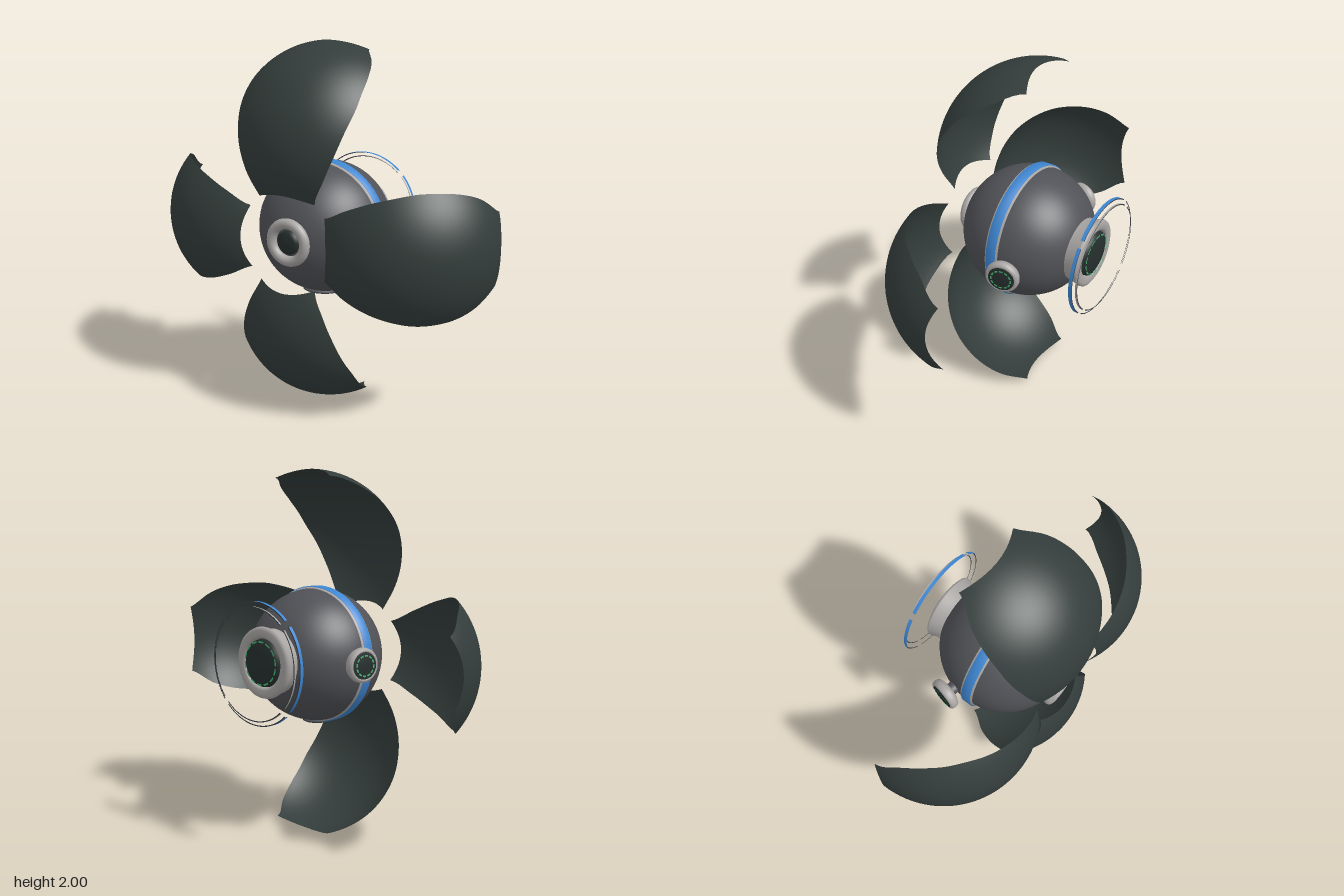
import * as THREE from 'three';

const mat = (name, color) => {
  const m = new THREE.MeshStandardMaterial({ color });
  m.name = name;
  return m;
};

export function createModel() {
  const shell = mat('petal charcoal green', 0x333d3b);
  shell.side = THREE.DoubleSide;
  const body = mat('body grey', 0x515257);
  const trim = mat('light trim', 0xa9a6a4);
  const blue = mat('blue', 0x3d86d2);
  const glass = mat('dark glass', 0x262f2e);
  const green = mat('signal green', 0x46b873);
  green.side = THREE.DoubleSide;
  const edge = mat('dark edge', 0x3a3f45);
  edge.side = THREE.DoubleSide;

  const root = new THREE.Group();
  root.name = 'petalDrone';
  const core = new THREE.Group();
  core.name = 'core';
  core.position.y = 1;
  root.add(core);

  const add = (parent, name, geo, material) => {
    const m = new THREE.Mesh(geo, material);
    m.name = name;
    parent.add(m);
    return m;
  };
  const lathe = (pts, seg = 48) =>
    new THREE.LatheGeometry(pts.map(([r, y]) => new THREE.Vector2(r, y)), seg);
  // group whose y axis points outward from the core
  const outward = (name, x, y, z) => {
    const g = new THREE.Group();
    g.name = name;
    g.quaternion.setFromUnitVectors(new THREE.Vector3(0, 1, 0), new THREE.Vector3(x, y, z).normalize());
    core.add(g);
    return g;
  };
  // dashed ring of light lying across the y axis
  const dashes = (parent, r, width, y, count) => {
    for (let i = 0; i < count; i++) {
      const step = (Math.PI * 2) / count;
      const g = new THREE.RingGeometry(r - width / 2, r + width / 2, 5, 1, i * step, step * 0.7);
      g.rotateX(-Math.PI / 2);
      add(parent, 'lightDash', g, green).position.y = y;
    }
  };

  // Ball and equator band
  add(core, 'ball', new THREE.SphereGeometry(0.365, 64, 40), body);
  const band = outward('equatorBand', 0, 0, 1);
  add(band, 'bandTrim', lathe([[0.35, -0.028], [0.371, -0.028], [0.371, 0.045], [0.35, 0.045]], 64), trim);
  add(band, 'bandStripe', lathe([[0.36, -0.018], [0.377, -0.018], [0.377, 0.036], [0.36, 0.036]], 64), blue);

  // Four petals: patches of a larger sphere, turned around the z axis
  const R = 0.52;
  const widths = new THREE.SplineCurve(
    [0.17, 0.235, 0.287, 0.32, 0.34, 0.339, 0.325, 0.285, 0.2].map((w, i) => new THREE.Vector2(i, w)));
  const petalGeo = new THREE.PlaneGeometry(2, 1, 24, 40);
  const p = petalGeo.attributes.position;
  for (let i = 0; i < p.count; i++) {
    const s = p.getX(i);
    const v = p.getY(i) + 0.5;
    const theta = THREE.MathUtils.degToRad(
      THREE.MathUtils.lerp(-24.4 - 6.2 * s * s, 90 + 7 * s * s, v));
    const phi = s * Math.asin(widths.getPoint(v).y / R);
    p.setXYZ(i, R * Math.sin(phi),
      0.48 + R * Math.cos(phi) * Math.sin(theta),
      -0.05 + R * Math.cos(phi) * Math.cos(theta));
  }
  petalGeo.computeVertexNormals();
  for (let k = 0; k < 4; k++) add(core, 'petal', petalGeo, shell).rotation.z = (k * Math.PI) / 2;

  // Front lens
  const front = outward('frontLens', 0, 0, 1);
  const ring = new THREE.TorusGeometry(0.102, 0.028, 16, 48);
  ring.rotateX(Math.PI / 2);
  add(front, 'frontRing', ring, trim).position.y = 0.365;
  add(front, 'frontGlass', lathe([[0.065, 0.35], [0.064, 0.37], [0.045, 0.378], [0, 0.382]], 32), glass);

  // Rear eye
  const rear = outward('rearEye', 0, 0, -1);
  add(rear, 'eyeRim', lathe([[0.172, 0.3], [0.176, 0.352], [0.19, 0.392], [0.187, 0.404],
    [0.172, 0.411], [0.145, 0.411], [0.13, 0.402], [0.126, 0.37]]), trim);
  add(rear, 'eyeGlass', lathe([[0.128, 0.385], [0.124, 0.408], [0.1, 0.418], [0.05, 0.424], [0, 0.425]]), glass);
  dashes(rear, 0.113, 0.009, 0.421, 14);

  // Floating arcs behind the eye, one set per quarter
  const half = THREE.MathUtils.degToRad(41.5);
  const arc = (parent, r, y0, y1, material, name, k) => {
    const start = (k * Math.PI) / 2 - half;
    const strip = new THREE.CylinderGeometry(r, r, y1 - y0, 24, 1, true, start, half * 2);
    add(parent, name, strip, material).position.y = (y0 + y1) / 2;
    const rim = new THREE.RingGeometry(r - 0.006, r, 24, 1, start - Math.PI / 2, half * 2);
    rim.rotateX(-Math.PI / 2);
    add(parent, name + 'Edge', rim, edge).position.y = y1;
  };
  for (let k = 0; k < 4; k++) {
    arc(rear, 0.326, 0.436, 0.455, blue, 'blueArc', k);
    arc(rear, 0.3, 0.461, 0.471, trim, 'greyArc', k);
  }

  // Side pods
  for (const side of [1, -1]) {
    const pod = outward(side > 0 ? 'leftPod' : 'rightPod', side, 0, -0.235);
    add(pod, 'podStem', lathe([[0.035, 0.34], [0.035, 0.4]], 24), body);
    add(pod, 'podRim', lathe([[0, 0.392], [0.06, 0.392], [0.084, 0.402], [0.092, 0.422],
      [0.09, 0.442], [0.08, 0.452], [0.07, 0.45], [0.066, 0.44]], 40), trim);
    add(pod, 'podFace', lathe([[0.072, 0.445], [0.07, 0.454], [0, 0.455]], 40), glass);
    dashes(pod, 0.053, 0.009, 0.457, 12);
  }

  // Round hatch under the ball
  const hatch = outward('bottomHatch', 0, -1, 0.11);
  add(hatch, 'hatchPlate', lathe([[0.08, 0.35], [0.1, 0.358], [0.1, 0.364], [0.09, 0.368], [0, 0.37]], 40), body);
  const hatchRim = new THREE.TorusGeometry(0.1, 0.004, 6, 40);
  hatchRim.rotateX(Math.PI / 2);
  add(hatch, 'hatchRim', hatchRim, edge).position.y = 0.364;

  return root;
}
